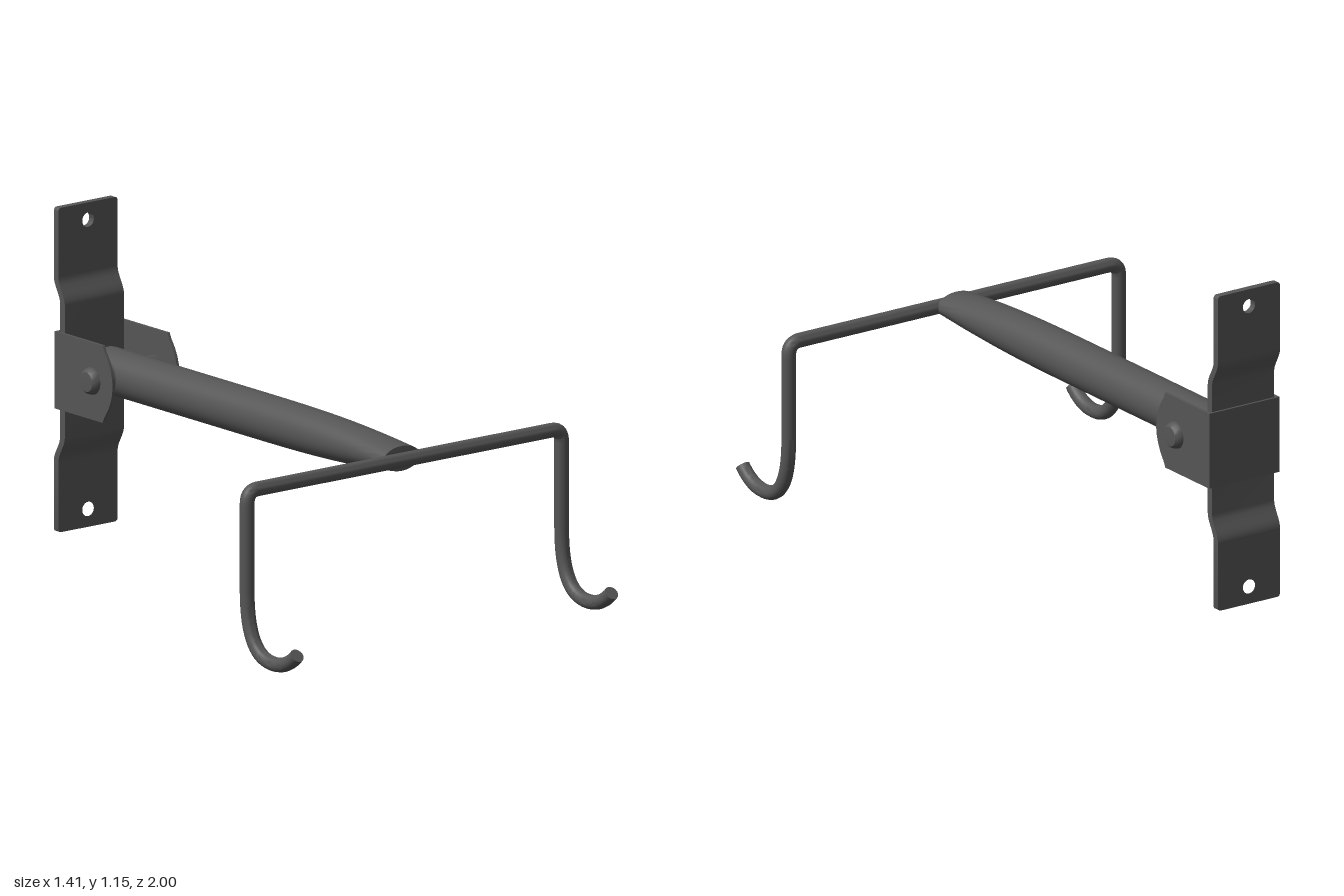
import * as THREE from 'three';
import { toCreasedNormals } from 'three/addons/utils/BufferGeometryUtils.js';

const material = new THREE.MeshStandardMaterial({ color: 0x555555 });
const AXIS_Y = 0.603;
const V = (x, y, z) => new THREE.Vector3(x, y, z);

function part(name, geometry, crease = 0.6) {
  const mesh = new THREE.Mesh(toCreasedNormals(geometry, crease), material);
  mesh.name = name;
  return mesh;
}

// Extrudes a (z, y) outline across x, centred on the given x.
function extrudeAcross(points, width, x = 0) {
  const shape = new THREE.Shape(points.map(([z, y]) => new THREE.Vector2(z, y)));
  const geo = new THREE.ExtrudeGeometry(shape, { depth: width, bevelEnabled: false });
  return geo.translate(0, 0, -width / 2).rotateY(-Math.PI / 2).translate(x, 0, 0);
}

// Flat end of the wall strip, with a screw hole and rounded outer corners.
function stripEnd(yInner, yOuter, holeY) {
  const w = 0.128, r = 0.014, s = Math.sign(yOuter - yInner);
  const shape = new THREE.Shape();
  shape.moveTo(-w, yInner);
  shape.lineTo(w, yInner);
  shape.lineTo(w, yOuter - s * r);
  shape.quadraticCurveTo(w, yOuter, w - r, yOuter);
  shape.lineTo(-w + r, yOuter);
  shape.quadraticCurveTo(-w, yOuter, -w, yOuter - s * r);
  shape.closePath();
  const hole = new THREE.Path();
  hole.absarc(0, holeY, 0.025, 0, Math.PI * 2, true);
  shape.holes.push(hole);
  return new THREE.ExtrudeGeometry(shape, { depth: 0.025, bevelEnabled: false, curveSegments: 16 })
    .translate(0, 0, -1);
}

// Raised middle of the strip, joined to the ends by S-bends.
function stripMiddle() {
  const front = [], back = [], y0 = 0.28, y1 = 0.92, bend = 0.09;
  const n = 12;
  for (let i = 0; i <= 2 * n + 1; i++) {
    const lower = i <= n;
    const t = lower ? i / n : (2 * n + 1 - i) / n;
    const y = lower ? y0 + t * bend : y1 - t * bend;
    const z = -1 + 0.034 * THREE.MathUtils.smoothstep(t, 0, 1);
    back.push([z, y]);
    front.push([z + 0.025, y]);
  }
  return extrudeAcross([...front, ...back.reverse()], 0.256);
}

// Arm: a round tube with a domed back, pressed flatter toward the front.
function armGeometry() {
  const profile = [], R = 0.08;
  for (let i = 0; i <= 8; i++) {
    const a = (i / 8) * Math.PI / 2;
    profile.push(new THREE.Vector2(R * Math.sin(a), -0.86 - 0.05 * Math.cos(a)));
  }
  for (let i = 1; i <= 30; i++) profile.push(new THREE.Vector2(R, -0.86 + (1.56 * i) / 30));
  profile.push(new THREE.Vector2(0, 0.705));
  const geo = new THREE.LatheGeometry(profile, 40).rotateX(Math.PI / 2);
  const p = geo.attributes.position;
  for (let i = 0; i < p.count; i++) {
    const t = Math.max(0, (p.getZ(i) + 0.1) / 0.8);
    p.setY(i, p.getY(i) * (1 - 0.46 * t ** 3));
  }
  return geo.translate(0, AXIS_Y, 0);
}

// Crossbar and both hooks as one bent rod.
function rodPath() {
  const x = 0.68, y = 0.602, z = 0.715, r = 0.045;
  const path = new THREE.CurvePath();
  path.add(new THREE.QuadraticBezierCurve3(V(-x, 0.083, 0.982), V(-x, 0.03, 0.93), V(-x, 0.03, 0.86)));
  path.add(new THREE.CubicBezierCurve3(V(-x, 0.03, 0.86), V(-x, 0.03, 0.765), V(-x, 0.1, z), V(-x, 0.26, z)));
  path.add(new THREE.LineCurve3(V(-x, 0.26, z), V(-x, y - r, z)));
  path.add(new THREE.QuadraticBezierCurve3(V(-x, y - r, z), V(-x, y, z), V(-x + r, y, z)));
  path.add(new THREE.LineCurve3(V(-x + r, y, z), V(x - r, y, z)));
  path.add(new THREE.QuadraticBezierCurve3(V(x - r, y, z), V(x, y, z), V(x, y - r, z)));
  path.add(new THREE.LineCurve3(V(x, y - r, z), V(x, 0.26, z)));
  path.add(new THREE.CubicBezierCurve3(V(x, 0.26, z), V(x, 0.1, z), V(x, 0.03, 0.765), V(x, 0.03, 0.86)));
  path.add(new THREE.QuadraticBezierCurve3(V(x, 0.03, 0.86), V(x, 0.03, 0.93), V(x, 0.083, 0.982)));
  return path;
}

export function createModel() {
  const model = new THREE.Group();
  model.name = 'wallHookBracket';

  const strip = new THREE.Group();
  strip.name = 'wallStrip';
  strip.add(
    part('stripTop', stripEnd(0.92, 1.16, 1.1)),
    part('stripBottom', stripEnd(0.28, 0.035, 0.097)),
    part('stripMiddle', stripMiddle())
  );
  model.add(strip);

  // U-shaped bracket wrapped round the strip
  const bracket = new THREE.Group();
  bracket.name = 'bracket';
  bracket.add(part('bracketBack', new THREE.BoxGeometry(0.29, 0.268, 0.009).translate(0, AXIS_Y, -0.9695)));
  const outline = [[-0.974, AXIS_Y - 0.134], [-0.718, AXIS_Y - 0.134]];
  for (let i = -4; i <= 4; i++) {
    const t = i / 4;
    outline.push([-0.665 - 0.044 * t * t, AXIS_Y + 0.115 * t]);
  }
  outline.push([-0.718, AXIS_Y + 0.134], [-0.974, AXIS_Y + 0.134]);
  for (const side of [1, -1]) {
    bracket.add(part(side > 0 ? 'leftTab' : 'rightTab', extrudeAcross(outline, 0.01, side * 0.14)));
  }
  model.add(bracket);

  // Pivot pin with chamfered heads
  const pin = [[0, -0.172], [0.034, -0.17], [0.042, -0.162], [0.047, -0.146],
    [0.047, 0.146], [0.042, 0.162], [0.034, 0.17], [0, 0.172]];
  model.add(part('pivotPin',
    new THREE.LatheGeometry(pin.map(([r, h]) => new THREE.Vector2(r, h)), 32)
      .rotateZ(Math.PI / 2).translate(0, AXIS_Y, -0.777)));

  model.add(part('arm', armGeometry()));

  const rod = new THREE.Group();
  rod.name = 'hookRod';
  rod.add(part('crossbarAndHooks', new THREE.TubeGeometry(rodPath(), 360, 0.025, 16), 0.9));
  for (const side of [1, -1]) {
    const tip = new THREE.CircleGeometry(0.025, 16).rotateX(-Math.PI / 4);
    rod.add(part(side > 0 ? 'leftHookTip' : 'rightHookTip', tip.translate(side * 0.68, 0.083, 0.982)));
  }
  model.add(rod);

  return model;
}
